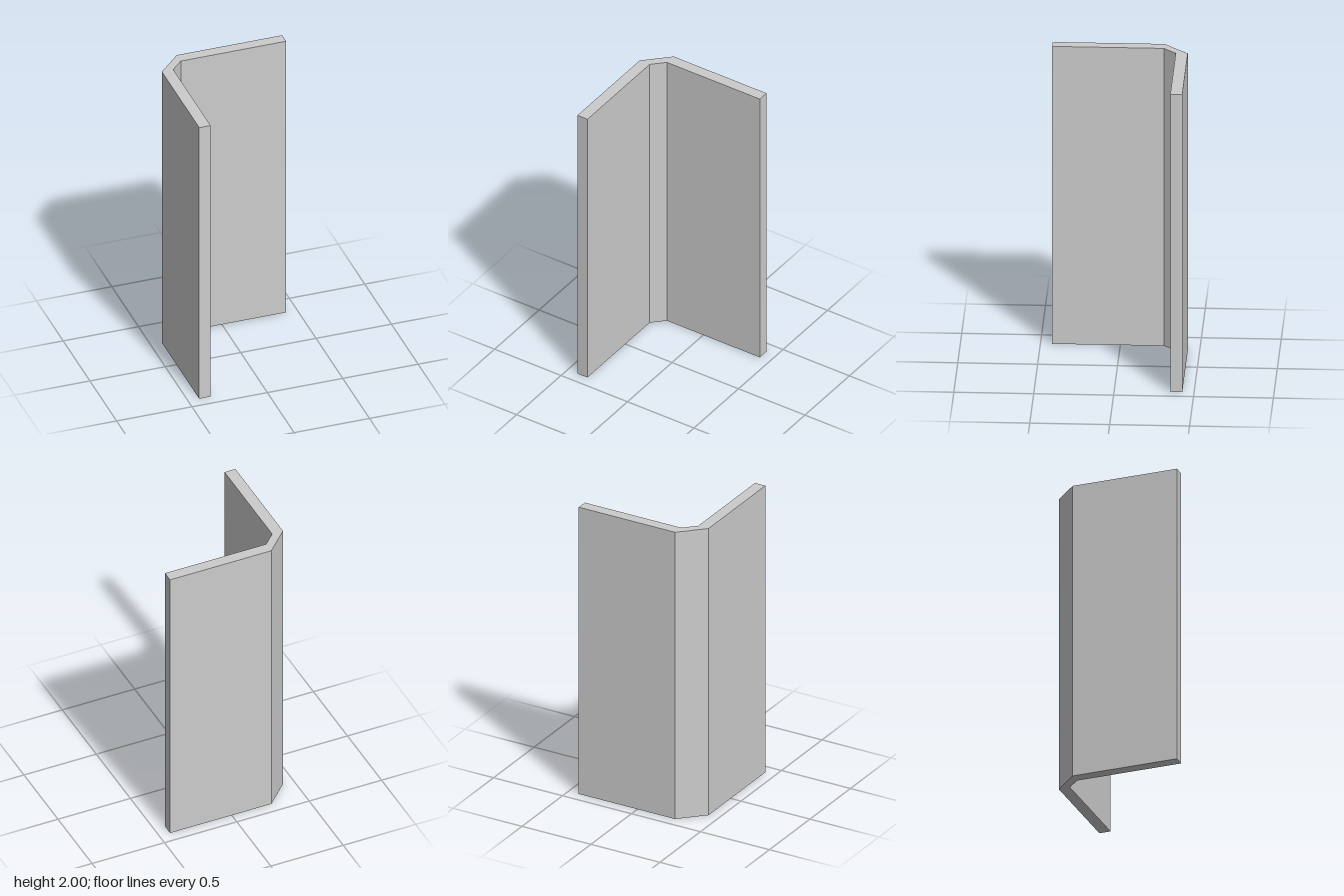
import * as THREE from 'three';

export function createModel() {
  const group = new THREE.Group();
  group.name = 'cornerWall';

  const half = 0.426;  // half the plan width
  const inner = 0.351; // inner wall faces
  const bevel = 0.273; // where the chamfered corner starts
  const height = 2;

  // Plan outline (x, -z): two walls joined by a chamfered corner
  const outline = new THREE.Shape([
    [-half, -half], [-inner, -half], [-inner, bevel], [-bevel, inner],
    [half, inner], [half, half], [-bevel, half], [-half, bevel],
  ].map(([x, y]) => new THREE.Vector2(x, y)));

  // Raise the plan to full height
  const geometry = new THREE.ExtrudeGeometry(outline, { depth: height, bevelEnabled: false });
  geometry.rotateX(-Math.PI / 2);

  const wall = new THREE.Mesh(
    geometry,
    new THREE.MeshStandardMaterial({ color: 0xcccccc, flatShading: true })
  );
  wall.name = 'chamferedCornerWall';
  group.add(wall);
  return group;
}
